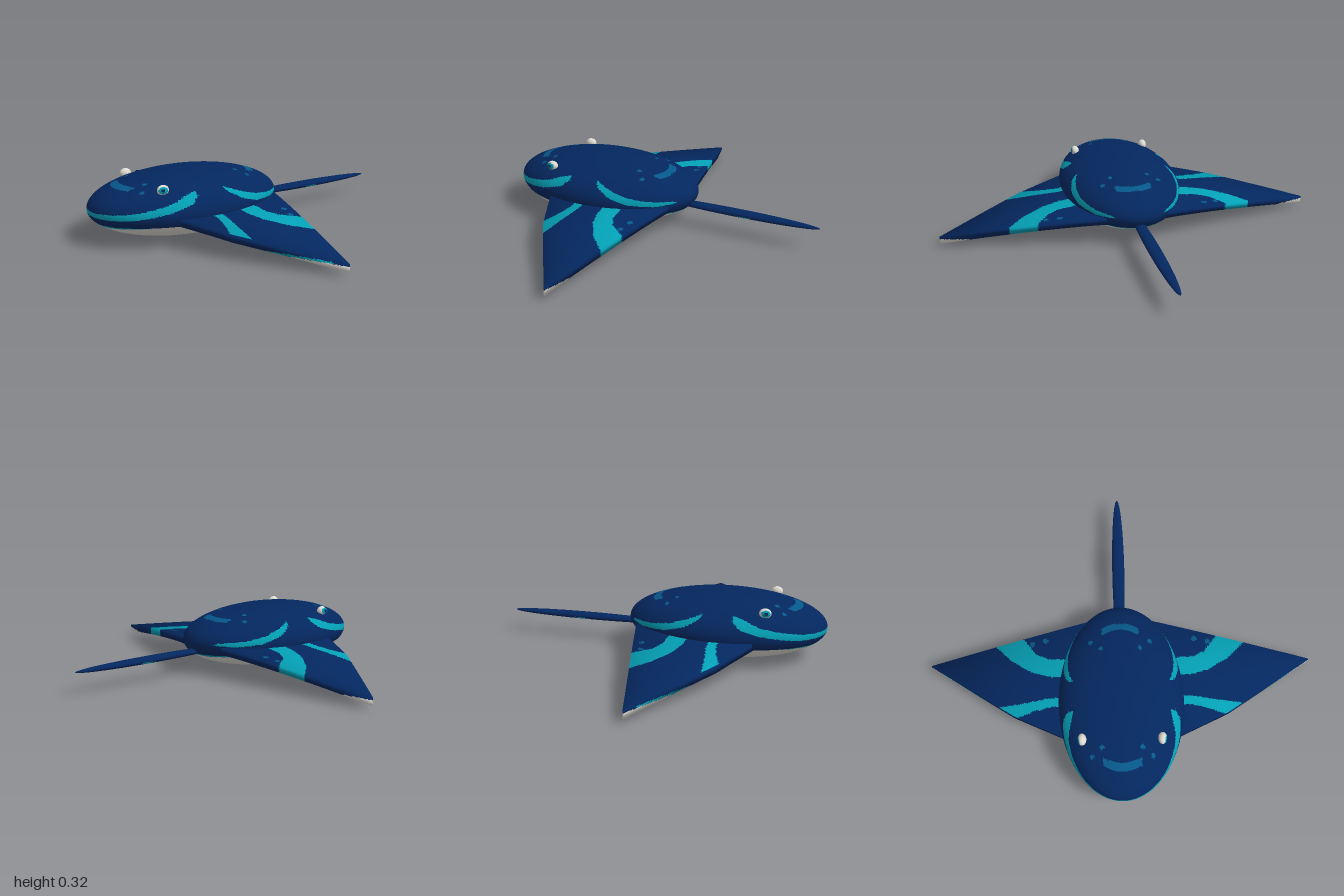
import * as THREE from 'three';

const colours = { oceanBlue: 0x04275f, teal: 0x049fb4, midBlue: 0x06588a, paleBelly: 0xdedad2 };
const materials = Object.entries(colours).map(([name, color]) => {
  const m = new THREE.MeshStandardMaterial({ color });
  m.name = name;
  return m;
});
const [BLUE, TEAL, MID, PALE] = [0, 1, 2, 3];

// Sort the triangles of a geometry into material groups by a rule on centroid and normal
function paint(name, geo, rule) {
  const pos = geo.attributes.position, index = geo.index.array;
  const buckets = materials.map(() => []);
  const tri = new THREE.Triangle(), c = new THREE.Vector3(), n = new THREE.Vector3();
  for (let i = 0; i < index.length; i += 3) {
    tri.setFromAttributeAndIndices(pos, index[i], index[i + 1], index[i + 2]);
    tri.getMidpoint(c);
    tri.getNormal(n);
    buckets[rule(c, n)].push(index[i], index[i + 1], index[i + 2]);
  }
  geo.setIndex(buckets.flat());
  geo.clearGroups();
  let start = 0;
  buckets.forEach((b, i) => {
    if (b.length) geo.addGroup(start, b.length, i);
    start += b.length;
  });
  const mesh = new THREE.Mesh(geo, materials);
  mesh.name = name;
  return mesh;
}

// Is point (x, y) inside a polygon?
function inside(poly, x, y) {
  let hit = false;
  for (let i = 0, j = poly.length - 1; i < poly.length; j = i++) {
    const [ax, ay] = poly[i], [bx, by] = poly[j];
    if ((ay > y) !== (by > y) && x < ((bx - ax) * (y - ay)) / (by - ay) + ax) hit = !hit;
  }
  return hit;
}
const near = (dots, r, x, y) => dots.some(([a, b]) => Math.hypot(x - a, y - b) < r);

// Piecewise linear value
function lerpTable(table, t) {
  let i = 1;
  while (i < table.length - 1 && t > table[i][0]) i++;
  const [a, va] = table[i - 1], [b, vb] = table[i];
  return va + ((vb - va) * (t - a)) / (b - a);
}

// Side streaks of the body, in x and y
const bodyStreaks = [
  [[-0.86, 0.168], [-0.75, 0.18], [-0.64, 0.2], [-0.55, 0.22], [-0.47, 0.25], [-0.42, 0.262],
    [-0.415, 0.245], [-0.46, 0.21], [-0.55, 0.185], [-0.65, 0.165], [-0.75, 0.15], [-0.86, 0.145]],
  [[-0.265, 0.262], [-0.2, 0.237], [-0.1, 0.207], [0, 0.188], [0.11, 0.178], [0.13, 0.168],
    [0.05, 0.16], [-0.08, 0.17], [-0.18, 0.2], [-0.25, 0.238]],
];
const backDots = [[-0.65, 0.15], [-0.61, 0.1], [-0.06, 0.15], [-0.1, 0.1]];

function bodyRule({ x, y, z }) {
  const w = Math.abs(z);
  // The pale belly dips slightly at the nose and the rear
  const end = Math.pow((x + 0.34) / 0.51, 4), belly = 0.112 - 0.022 * end;
  if (y < belly) return PALE;
  if (y < belly + 0.016 * end) return TEAL;
  if (bodyStreaks.some((s) => inside(s, x, y))) return TEAL;
  if (y > 0.18) {
    // Crescents and spots on the back
    if (w < 0.095 && Math.abs(x + 0.705 - w * w * 3) < 0.02) return MID;
    if (w < 0.095 && Math.abs(x - 0.022 + w * w * 3) < 0.02) return MID;
    if (near(backDots, 0.012, x, w)) return MID;
  }
  return BLUE;
}

// Wing streaks, in x and distance from the middle
const wingStreaks = [
  [[-0.36, 0.26], [-0.31, 0.26], [-0.315, 0.38], [-0.33, 0.47], [-0.35, 0.64], [-0.42, 0.56], [-0.38, 0.45], [-0.36, 0.36]],
  [[-0.2, 0.26], [-0.11, 0.26], [-0.1, 0.38], [-0.07, 0.44], [0.02, 0.51], [0, 0.67], [-0.1, 0.57], [-0.17, 0.46], [-0.2, 0.36]],
];
const wingDots = [[-0.015, 0.46], [0.0, 0.39]];
const undersideMarks = [
  [[-0.5, 0.34], [-0.42, 0.32], [-0.38, 0.42], [-0.45, 0.47]],
  [[-0.08, 0.36], [0.07, 0.3], [0.05, 0.4], [-0.06, 0.43]],
];
const leading = [[0.15, -0.58], [0.3, -0.52], [0.55, -0.4], [1, -0.102]];
const trailing = [[0.15, 0.1], [1, -0.098]];
const wingHeight = (w) => 0.14 - 0.1 * Math.pow((w - 0.15) / 0.85, 1.3);

function wingRule({ x, y, z }, n) {
  const w = Math.abs(z), h = (y - wingHeight(w)) / 0.019;
  if (n.y < 0.5) {
    // Pale tip underneath, rising along the rim, with a teal border
    const edge = (w - 0.77 - 0.4 * (x + 0.23)) / 0.13 - 1;
    if (h < edge) return PALE;
    if (h < edge + 0.5 && x < -0.14) return TEAL;
    // Short marks on the underside, plain leading rim
    if (n.y < -0.5) return undersideMarks.some((s) => inside(s, x, w)) ? TEAL : BLUE;
    if (n.x < -0.3) return BLUE;
  }
  if (wingStreaks.some((s) => inside(s, x, w))) return TEAL;
  if (near(wingDots, 0.014, x, w)) return MID;
  return BLUE;
}

function wing(side) {
  const geo = new THREE.BoxGeometry(1, 1, 1, 70, 6, 80);
  const p = geo.attributes.position, normal = geo.attributes.normal;
  const n = new THREE.Vector3();
  for (let i = 0; i < p.count; i++) {
    const u = p.getX(i), v = p.getY(i), t = 0.5 + side * p.getZ(i), w = 0.15 + 0.85 * t;
    const x = THREE.MathUtils.lerp(lerpTable(leading, w), lerpTable(trailing, w), u + 0.5);
    // Soft normals that roll outward to the rim and the tip
    n.set(u, 2 * v, side * (0.1 + 1.1 * t * t)).normalize();
    normal.setXYZ(i, n.x, n.y, n.z);
    p.setXYZ(i, x, wingHeight(w) + 0.038 * v, side * w);
  }
  return paint(side > 0 ? 'rightWing' : 'leftWing', geo, wingRule);
}

function ellipsoid(rx, ry, rz, x, y, z, u, v) {
  return new THREE.SphereGeometry(1, u, v).scale(rx, ry, rz).translate(x, y, z);
}

export function createModel() {
  const group = new THREE.Group();
  group.name = 'ray';

  group.add(paint('body', ellipsoid(0.51, 0.16, 0.32, -0.34, 0.16, 0, 200, 110), bodyRule));

  // Slim tail with a small mark underneath
  const tail = ellipsoid(0.44, 0.018, 0.033, 0.4, 0.117, 0, 60, 16);
  group.add(paint('tail', tail, (c, n) => (n.y < -0.3 && Math.abs(c.x - 0.45) < 0.03 ? TEAL : BLUE)));

  // Wings and eyes on both sides
  for (const side of [1, -1]) {
    group.add(wing(side));
    const gaze = new THREE.Vector3(-0.25, 0.1, 0.95 * side).normalize();
    const eye = ellipsoid(0.03, 0.025, 0.022, -0.565, 0.275, 0.198 * side, 32, 24);
    group.add(paint(side > 0 ? 'rightEye' : 'leftEye', eye, (c, n) => {
      const d = n.dot(gaze);
      return d > 0.96 ? BLUE : d > 0.76 ? TEAL : PALE;
    }));
  }
  return group;
}
